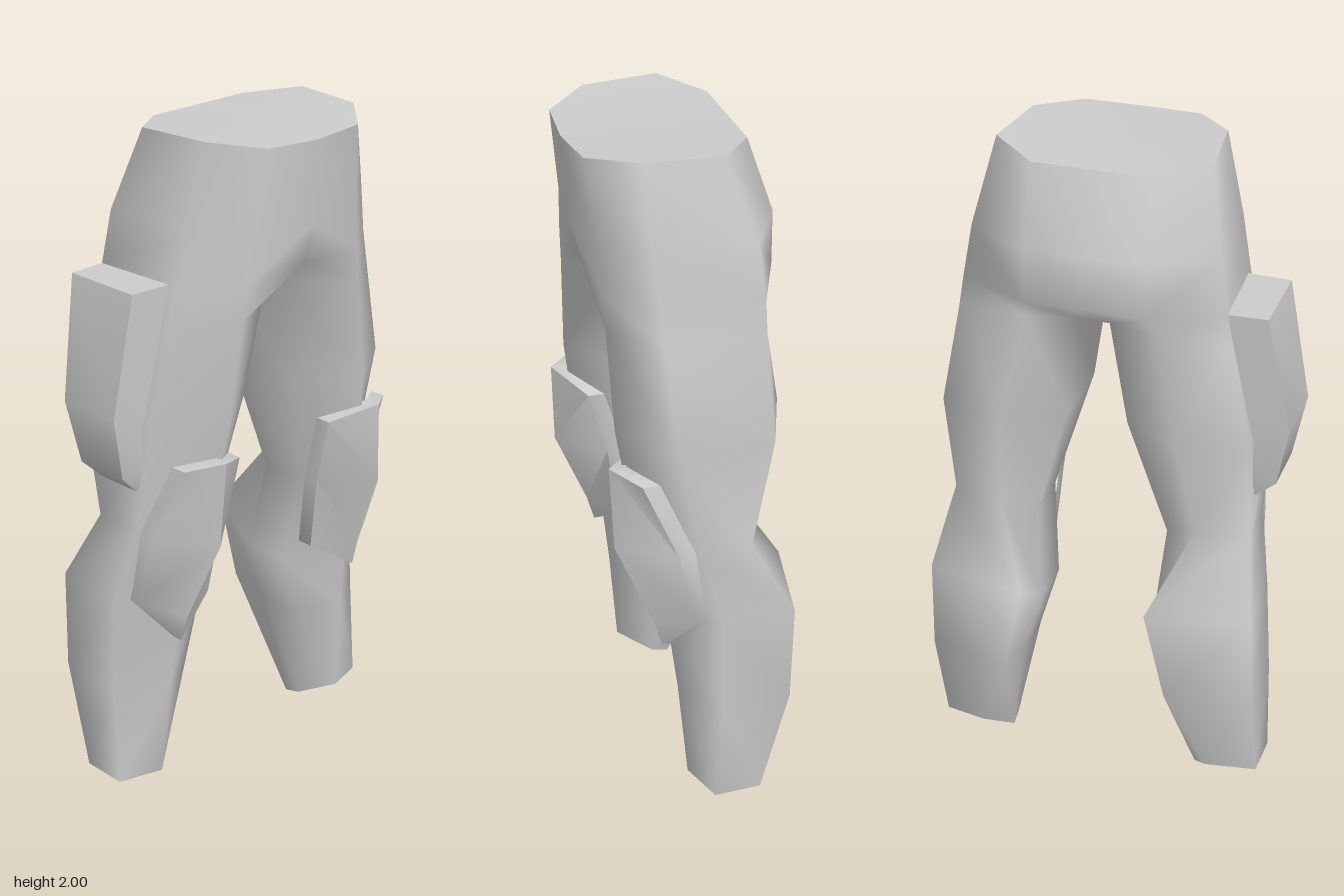
import * as THREE from 'three';
import { mergeVertices, toCreasedNormals } from 'three/addons/utils/BufferGeometryUtils.js';

const grey = new THREE.MeshStandardMaterial({ color: 0xcccccc });
grey.name = 'plain grey';

// Triangle list helpers: corners are [x, y, z], counter-clockwise from outside
const same = (p, q) => p[0] === q[0] && p[1] === q[1] && p[2] === q[2];
function tri(out, a, b, c, flip) {
  if (same(a, b) || same(b, c) || same(a, c)) return;
  out.push(...a, ...(flip ? c : b), ...(flip ? b : c));
}
function quad(out, a, b, c, d, flip) {
  tri(out, a, b, c, flip);
  tri(out, a, c, d, flip);
}
// Skins neighbouring rows, listed from top to bottom
function loft(out, rows, closed, flip) {
  for (let i = 0; i + 1 < rows.length; i++) {
    const r = rows[i], n = rows[i + 1], len = r.length;
    for (let j = 0; j < (closed ? len : len - 1); j++) {
      const k = (j + 1) % len;
      quad(out, r[j], n[j], n[k], r[k], flip);
    }
  }
}
function fan(out, centre, ring, flip) {
  ring.forEach((p, i) => tri(out, centre, p, ring[(i + 1) % ring.length], flip));
}
function makeMesh(name, tris, crease) {
  let geo = new THREE.BufferGeometry();
  geo.setAttribute('position', new THREE.Float32BufferAttribute(tris, 3));
  geo = mergeVertices(geo, 1e-4);
  if (crease) geo = toCreasedNormals(geo, crease);
  else geo.computeVertexNormals();
  const mesh = new THREE.Mesh(geo, grey);
  mesh.name = name;
  return mesh;
}
const mirror = (rows, s) => rows.map(r => r.map(([x, y, z]) => [s * x, y, z]));

// Half rings: inner front, front, outer front, outer back, back, inner back
const pelvis = [
  [[0, 1.98, 0.295], [0.172, 1.985, 0.28], [0.285, 2, 0.155], [0.31, 2, -0.07], [0.172, 1.985, -0.177], [0, 1.985, -0.177]],
  [[0, 1.74, 0.283], [0.2, 1.74, 0.252], [0.34, 1.76, 0.14], [0.36, 1.76, -0.15], [0.172, 1.76, -0.255], [0, 1.76, -0.255]],
  [[0, 1.62, 0.25], [0.22, 1.6, 0.247], [0.37, 1.6, 0.125], [0.385, 1.6, -0.165], [0.172, 1.6, -0.255], [0, 1.6, -0.25]],
];
const leg = [
  [[0.05, 1.52, 0.14], [0.23, 1.5, 0.242], [0.392, 1.5, 0.12], [0.4, 1.51, -0.165], [0.19, 1.52, -0.19], [0.05, 1.53, -0.175]],
  [[0.09, 1.2, 0.1], [0.27, 1.2, 0.23], [0.458, 1.2, 0.105], [0.458, 1.2, -0.175], [0.26, 1.22, -0.25], [0.09, 1.2, -0.14]],
  [[0.2, 0.83, 0.05], [0.32, 0.85, 0.18], [0.452, 0.87, 0.04], [0.455, 0.87, -0.115], [0.3, 0.88, -0.155], [0.2, 0.83, -0.1]],
  [[0.175, 0.55, 0], [0.345, 0.58, 0.1], [0.488, 0.65, -0.02], [0.495, 0.65, -0.235], [0.19, 0.65, -0.295], [0.175, 0.55, -0.15]],
  [[0.238, 0.34, 0], [0.36, 0.36, 0.073], [0.503, 0.35, -0.02], [0.503, 0.36, -0.225], [0.25, 0.37, -0.285], [0.238, 0.34, -0.15]],
  [[0.302, 0.01, -0.05], [0.375, 0.05, 0.045], [0.503, 0.042, 0.0], [0.503, 0.045, -0.14], [0.36, 0.08, -0.205], [0.298, 0, -0.1]],
];
// Knee pad rows: inner edge, ridge, outer edge; the last row is the tip
const tip = [0.36, 0.515, 0.12];
const pad = [
  [[0.182, 1.06, 0.18], [0.31, 1.105, 0.26], [0.405, 1.085, 0.19]],
  [[0.197, 0.85, 0.12], [0.325, 0.85, 0.25], [0.445, 0.86, 0.095]],
  [[0.215, 0.61, 0.08], [0.355, 0.6, 0.145], [0.455, 0.64, 0.04]],
  [tip, tip, tip],
];

function makeTrousers() {
  const group = new THREE.Group();
  group.name = 'trousers';
  const body = [];
  for (const s of [1, -1]) {
    const p = mirror(pelvis, s), l = mirror(leg, s);
    loft(body, [...p, l[0]], false, s < 0);
    loft(body, l, true, s < 0);
    // Ankle end
    const end = [];
    fan(end, [s * 0.41, 0.045, -0.08], l[l.length - 1], s > 0);
    group.add(makeMesh(s > 0 ? 'leftAnkleEnd' : 'rightAnkleEnd', end, 0.2));
  }
  // Crotch strip joining the legs
  const [L, R] = [1, -1].map(s => mirror(leg, s)[0]);
  tri(body, pelvis[2][0], R[0], L[0]);
  quad(body, R[0], R[5], L[5], L[0]);
  tri(body, pelvis[2][5], L[5], R[5]);
  group.add(makeMesh('hipsAndLegs', body));
  // Closed waist
  const waist = [];
  const left = pelvis[0], right = mirror(pelvis, -1)[0];
  fan(waist, [0, 1.986, 0.05], [...left, ...right.slice(1, 5).reverse()]);
  group.add(makeMesh('waistTop', waist));
  return group;
}

function makeKneePad(s) {
  const rows = mirror(pad, s), out = [];
  loft(out, rows, false, s < 0);
  // Rim running back to the leg
  const edge = [...rows[0], rows[1][2], rows[2][2], rows[3][0], rows[2][0], rows[1][0]];
  const back = edge.map(([x, y, z]) => [x, y, z - 0.05]);
  edge.forEach((p, i) => {
    const k = (i + 1) % edge.length;
    quad(out, p, edge[k], back[k], back[i], s < 0);
  });
  return makeMesh(s > 0 ? 'leftKneePad' : 'rightKneePad', out, 0.95);
}

// Thigh pouch: rows of [y, inner x, outer x, back z, front z]
function makePouch() {
  const rows = [
    [1.605, -0.34, -0.47, -0.16, 0.09],
    [1.25, -0.38, -0.535, -0.13, 0.078],
    [1.06, -0.4, -0.497, -0.11, 0.065],
    [1.0, -0.41, -0.435, -0.09, 0.05],
  ].map(([y, xi, xo, zb, zf]) => [[xo, y, zf], [xi, y, zf + 0.005], [xi, y, zb - 0.005], [xo, y, zb]]);
  const out = [];
  loft(out, rows, true);
  quad(out, ...rows[0]);
  quad(out, ...[...rows[3]].reverse());
  return makeMesh('thighPouch', out, 1.0);
}

export function createModel() {
  const model = new THREE.Group();
  model.name = 'armouredTrousers';
  const pair = makeTrousers();
  pair.add(makeKneePad(1), makeKneePad(-1));
  pair.position.x = 0.027;
  model.add(pair, makePouch());
  return model;
}
